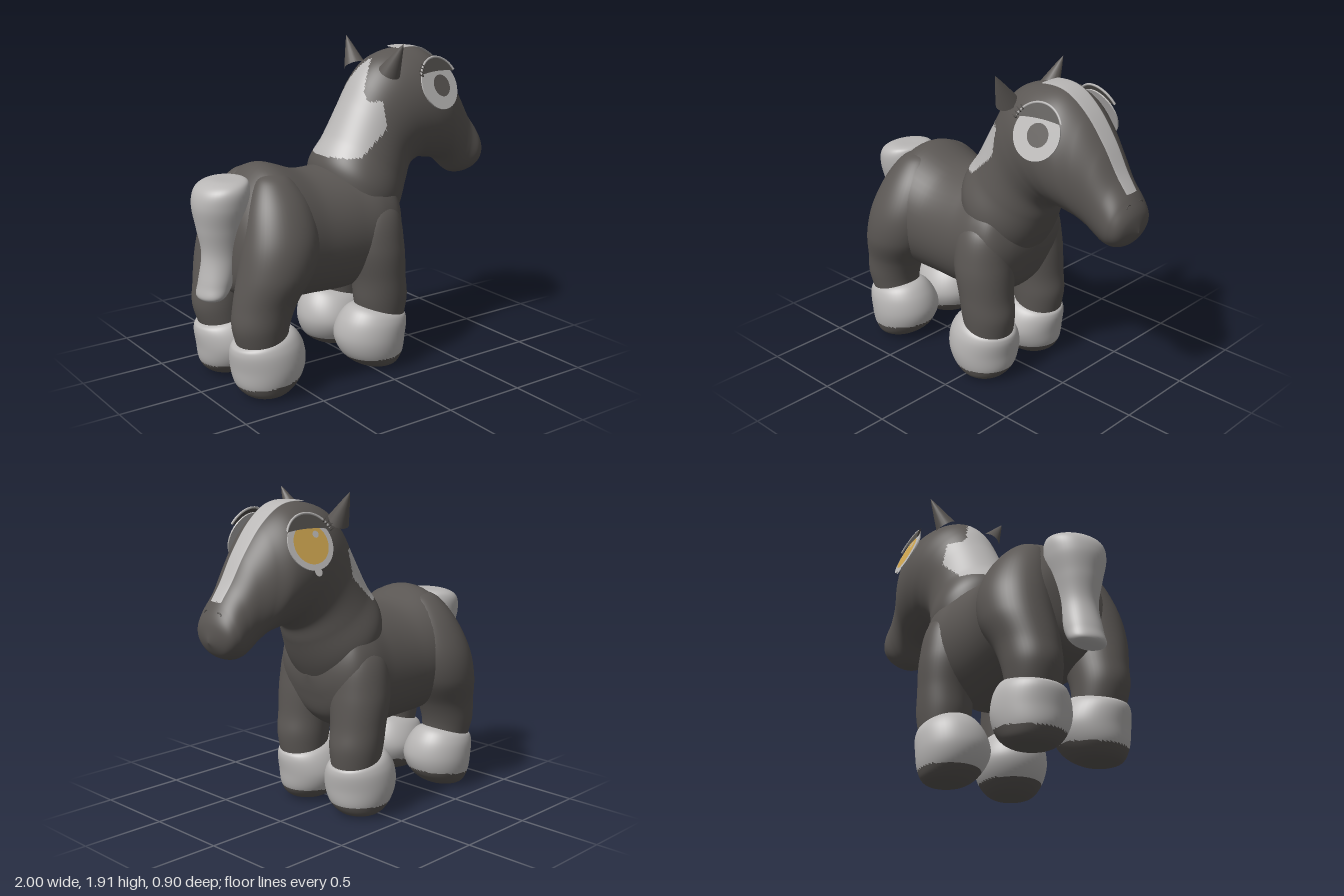
import * as THREE from 'three';

const mat = (name, color, side = THREE.FrontSide) => {
  const m = new THREE.MeshStandardMaterial({ color, side });
  m.name = name;
  return m;
};
const coat = mat('dark coat', 0x5b5754);
const pale = mat('pale grey', 0xb9b7b6, THREE.DoubleSide);
const gold = mat('amber iris', 0xcda450, THREE.DoubleSide);
const dark = mat('dark lid', 0x4f4c49, THREE.DoubleSide);

// A section is [x1, y1, x2, y2, halfWidth, zCentre]: two opposite silhouette points and a width.
function sectionAt(sections, t) {
  const n = sections.length - 1;
  const i = Math.min(Math.floor(t), n - 1), f = t - i;
  const [a, b, c, d] = [i - 1, i, i + 1, i + 2].map(k => sections[Math.max(0, Math.min(n, k))]);
  return b.map((p1, k) => {
    const v0 = (c[k] - a[k]) / 2, v1 = (d[k] - p1) / 2;
    return (2 * p1 - 2 * c[k] + v0 + v1) * f ** 3 + (-3 * p1 + 3 * c[k] - 2 * v0 - v1) * f * f + v0 * f + p1;
  });
}

// Smooth skin of elliptical rings; isPale(x, y, z) picks the faces that take the second material.
function loft(name, sections, material, isPale, steps = 8, sides = 48) {
  const pos = [], faces = [[], []];
  const rows = (sections.length - 1) * steps;
  for (let i = 0; i <= rows; i++) {
    const [x1, y1, x2, y2, w, zc = 0] = sectionAt(sections, i / steps);
    for (let j = 0; j < sides; j++) {
      const a = j / sides * Math.PI * 2, c = Math.cos(a) / 2;
      pos.push((x1 + x2) / 2 + (x1 - x2) * c, (y1 + y2) / 2 + (y1 - y2) * c, zc + Math.max(w, 0) * Math.sin(a));
    }
  }
  const mid = (tri, k) => (pos[tri[0] * 3 + k] + pos[tri[1] * 3 + k] + pos[tri[2] * 3 + k]) / 3;
  for (let i = 0; i < rows; i++) {
    for (let j = 0; j < sides; j++) {
      const a = i * sides + j, b = i * sides + (j + 1) % sides;
      for (const tri of [[a, b, a + sides], [b, b + sides, a + sides]]) {
        const second = isPale && isPale(mid(tri, 0), mid(tri, 1), mid(tri, 2));
        faces[second ? 1 : 0].push(...tri);
      }
    }
  }
  const geo = new THREE.BufferGeometry();
  geo.setAttribute('position', new THREE.Float32BufferAttribute(pos, 3));
  geo.setIndex(faces[0].concat(faces[1]));
  geo.computeVertexNormals();
  if (isPale) {
    geo.addGroup(0, faces[0].length, 0);
    geo.addGroup(faces[0].length, faces[1].length, 1);
  }
  const mesh = new THREE.Mesh(geo, isPale ? [material, pale] : material);
  mesh.name = name;
  return mesh;
}

const TORSO = [
  [-0.84, 0.9, -0.84, 0.88, 0], [-0.8, 1.06, -0.83, 0.62, 0.23], [-0.7, 1.21, -0.72, 0.52, 0.34],
  [-0.57, 1.28, -0.56, 0.48, 0.385], [-0.33, 1.21, -0.33, 0.47, 0.36], [-0.1, 1.22, -0.1, 0.46, 0.35],
  [0.06, 1.24, 0.06, 0.49, 0.35], [0.18, 1.18, 0.185, 0.58, 0.31], [0.255, 1.01, 0.245, 0.72, 0.19],
  [0.28, 0.89, 0.28, 0.85, 0],
];
const HEAD = [
  [-0.2, 1.02, 0.2, 0.72, 0.27], [-0.19, 1.23, 0.31, 0.9, 0.305], [-0.1, 1.38, 0.38, 1.05, 0.265],
  [0, 1.56, 0.42, 1.14, 0.245], [0.09, 1.71, 0.5, 1.18, 0.255], [0.2, 1.81, 0.57, 1.17, 0.27],
  [0.36, 1.855, 0.63, 1.16, 0.28], [0.52, 1.845, 0.69, 1.14, 0.264], [0.66, 1.75, 0.74, 1.1, 0.217],
  [0.78, 1.6, 0.78, 1.06, 0.18], [0.87, 1.45, 0.82, 1.04, 0.165], [0.95, 1.34, 0.88, 1.04, 0.16],
  [0.99, 1.26, 0.945, 1.07, 0.12], [1, 1.17, 1, 1.15, 0],
];
const TAIL = [
  [-0.93, 0.53, -0.91, 0.53, 0], [-0.99, 0.56, -0.85, 0.56, 0.1], [-0.98, 0.64, -0.79, 0.64, 0.11],
  [-0.955, 0.8, -0.73, 0.8, 0.11], [-0.98, 0.95, -0.69, 0.95, 0.14], [-1, 1.08, -0.67, 1.08, 0.172],
  [-0.975, 1.17, -0.68, 1.18, 0.172], [-0.9, 1.215, -0.7, 1.22, 0.12], [-0.8, 1.222, -0.78, 1.222, 0],
];
const FRONT_LEG = [
  [-0.04, 0.3, 0.24, 0.28, 0.14, 0.22], [-0.065, 0.42, 0.26, 0.42, 0.156, 0.225], [-0.08, 0.55, 0.245, 0.55, 0.165, 0.225],
  [-0.12, 0.75, 0.235, 0.75, 0.18, 0.215], [-0.1, 0.95, 0.2, 0.97, 0.14, 0.205], [0.02, 1.1, 0.07, 1.1, 0, 0.19],
];
const BACK_LEG = [
  [-0.86, 0.28, -0.58, 0.3, 0.14, 0.22], [-0.9, 0.42, -0.57, 0.42, 0.156, 0.23], [-0.89, 0.55, -0.52, 0.55, 0.17, 0.235],
  [-0.86, 0.72, -0.42, 0.72, 0.2, 0.25], [-0.82, 0.9, -0.38, 0.9, 0.195, 0.24], [-0.76, 1.08, -0.4, 1.08, 0.16, 0.19],
  [-0.68, 1.21, -0.48, 1.21, 0.09, 0.14], [-0.59, 1.25, -0.57, 1.25, 0, 0.12],
];
const BOOT = [
  [0.05, 0, 0.09, 0, 0, 0.23], [-0.05, 0.02, 0.18, 0.015, 0.12, 0.225], [-0.14, 0.09, 0.235, 0.08, 0.18, 0.21],
  [-0.18, 0.2, 0.253, 0.18, 0.21, 0.2], [-0.15, 0.32, 0.262, 0.28, 0.187, 0.212],
  [-0.07, 0.39, 0.23, 0.32, 0.13, 0.22], [0.08, 0.36, 0.1, 0.36, 0, 0.22],
];
// The hind boots are the fore boots turned end for end.
const BACK_BOOT = BOOT.map(([x1, y1, x2, y2, w, z]) => [-0.64 - x2, y2, -0.64 - x1, y1, w, z]);
const onSide = (sections, s) => sections.map(p => [...p.slice(0, 5), p[5] * s]);

// Mane patch: full on the neck, running up to a point between the ears
const maneArea = (x, y, z) => y > 1.27 && y < 1.81 &&
  x < (y < 1.42 ? -0.04 + (y - 1.27) * 1.15 : y < 1.58 ? 0.135 : 0.065 + 0.13 * Math.max(0, 1 - Math.abs(z) / 0.1));

function blaze() {
  const strip = [];
  for (let t = 6; t <= 10.8; t += 0.2) {
    const [x1, y1, x2, y2] = sectionAt(HEAD, t);
    const len = Math.hypot(x1 - x2, y1 - y2), dx = (x1 - x2) / len, dy = (y1 - y2) / len;
    strip.push([x1 + dx * 0.009, y1 + dy * 0.009, x1, y1, 0.072 - (t - 6) * 0.006]);
  }
  return loft('blaze', strip, pale, null, 1, 16);
}

function eye(s) {
  const g = new THREE.Group();
  g.name = s > 0 ? 'leftEye' : 'rightEye';
  const add = (name, geo, m, x, y, z) => {
    const mesh = new THREE.Mesh(geo, m);
    mesh.name = name;
    mesh.position.set(x, y, z);
    g.add(mesh);
    return mesh;
  };
  add('eyeRim', new THREE.CylinderGeometry(0.145, 0.145, 0.008, 40), pale, 0, 0, 0).rotation.x = Math.PI / 2;
  if (s > 0) {
    add('iris', new THREE.CircleGeometry(0.066, 32), coat, 0.012, -0.004, 0.008);
  } else {
    add('iris', new THREE.CircleGeometry(0.112, 36), gold, 0, 0, 0.008);
    add('glint', new THREE.CircleGeometry(0.02, 16), pale, 0.04, 0.05, 0.011);
    add('tear', new THREE.CircleGeometry(0.024, 16), pale, 0.01, -0.155, 0.004);
  }
  // Heavy upper lid, its pale crease and the lashes at the back corner
  const lid = new THREE.Shape();
  lid.absarc(0, 0, 0.148, 0.4, Math.PI - 0.4);
  lid.quadraticCurveTo(0, 0.08, 0.136, 0.058);
  add('eyelid', new THREE.ShapeGeometry(lid, 24), dark, 0, 0.015, 0.014);
  add('lidCrease', new THREE.TorusGeometry(0.152, 0.007, 6, 32, 2.3), pale, 0, 0.017, 0.014).rotation.z = 0.42;
  for (let i = 0; i < 4; i++) {
    const a = 0.35 + i * 0.14;
    const lash = add('lash', new THREE.ConeGeometry(0.006, 0.04, 5), dark,
      -s * Math.cos(a) * 0.163, Math.sin(a) * 0.163 + 0.015, 0.02);
    lash.rotation.z = s * (Math.PI / 2 - a);
  }
  g.position.set(0.495, 1.65, s * 0.262);
  g.lookAt(0.495 + 0.14, 1.65 + 0.4, s * 1.262);
  return g;
}

// Slender ear with a flared root
function ear(s) {
  const base = new THREE.Vector3(0.195, 1.74, 0.17 * s);
  const dir = new THREE.Vector3(0.21, 1.915, 0.28 * s).sub(base);
  const h = dir.length();
  const profile = [[0.066, 0], [0.05, 0.25], [0.034, 0.5], [0.016, 0.78], [0, 1]];
  const mesh = new THREE.Mesh(new THREE.LatheGeometry(profile.map(([r, t]) => new THREE.Vector2(r, t * h)), 20), coat);
  mesh.name = s > 0 ? 'leftEar' : 'rightEar';
  mesh.position.copy(base);
  mesh.quaternion.setFromUnitVectors(new THREE.Vector3(0, 1, 0), dir.normalize());
  return mesh;
}

function nostril(s) {
  const mesh = new THREE.Mesh(new THREE.TorusGeometry(0.019, 0.003, 6, 16, Math.PI), dark);
  mesh.name = 'nostril';
  mesh.position.set(0.962, 1.295, 0.05 * s);
  mesh.rotation.y = Math.PI / 2;
  return mesh;
}

export function createModel() {
  const g = new THREE.Group();
  g.name = 'toyHorse';
  g.add(loft('torso', TORSO, coat), loft('neckAndHead', HEAD, coat, maneArea, 16, 96), loft('tail', TAIL, pale), blaze());
  for (const s of [1, -1]) {
    g.add(
      loft('frontLeg', onSide(FRONT_LEG, s), coat),
      loft('backLeg', onSide(BACK_LEG, s), coat),
      loft('frontHoof', onSide(BOOT, s), coat, (x, y) => y > 0.08),
      loft('backHoof', onSide(BACK_BOOT, s), coat, (x, y) => y > 0.07 + 0.12 * (x + 0.9)),
      eye(s), ear(s), nostril(s),
    );
  }
  return g;
}
